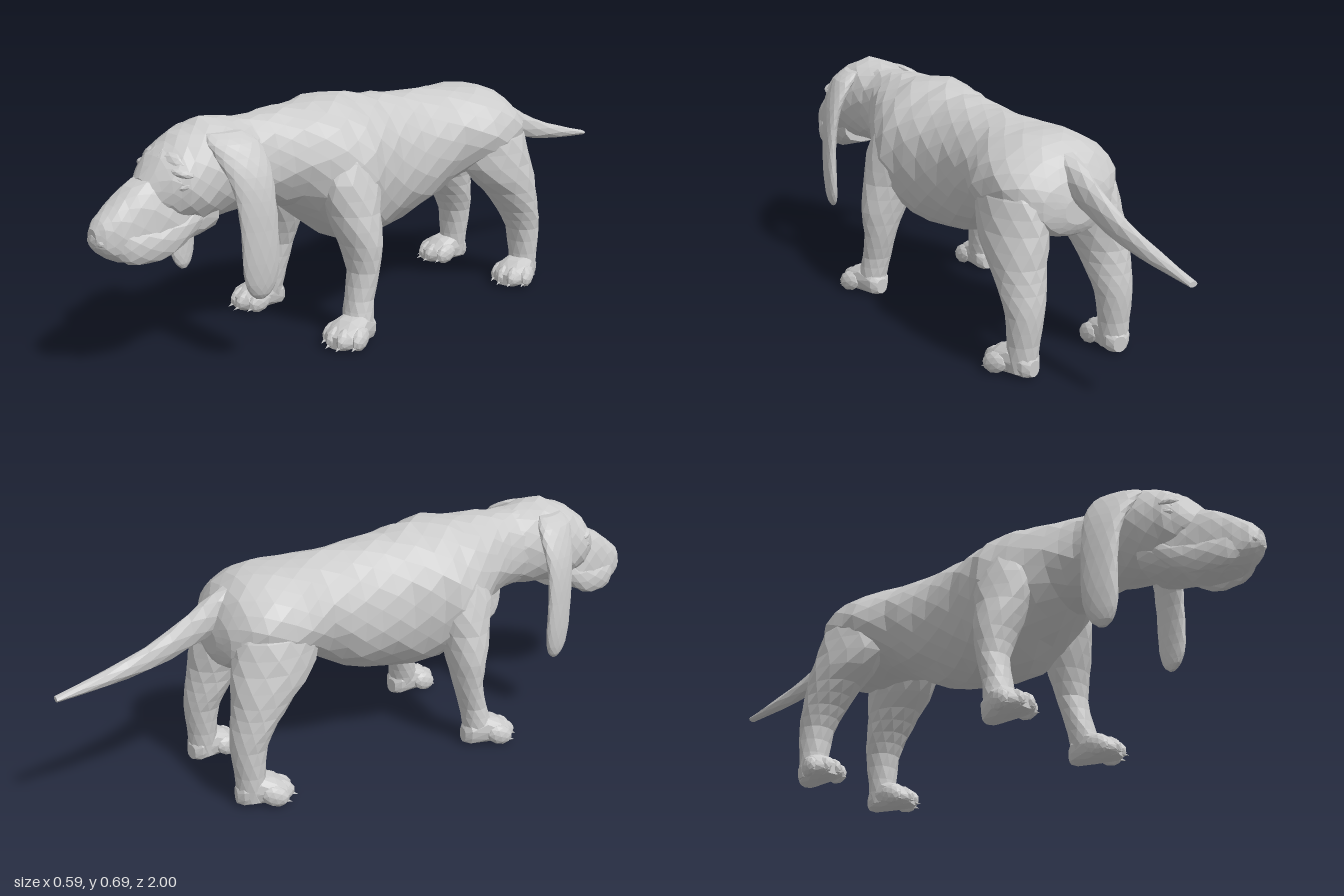
import * as THREE from 'three';

const material = new THREE.MeshStandardMaterial({ color: 0xcccccc, flatShading: true });

// Small repeatable irregularity for a hand-faceted surface
const wobble = (i, j) => {
  const s = Math.sin(i * 12.9898 + j * 78.233) * 43758.5453;
  return (s - Math.floor(s)) * 2 - 1;
};

// Skin over oval sections [x, y, z, halfWidth, halfDepth].
// upright: sections stand in the xy plane; otherwise they lie in the xz plane.
// power below 1 makes the ovals boxier; taper narrows one end of a section;
// shear slides x along a section's depth.
function loft(name, sections, { upright = true, sides = 14, steps = 2, power = 1, rough = 0.03, taper = 0, shear = 0 } = {}) {
  const path = new THREE.CatmullRomCurve3(sections.map(s => new THREE.Vector3(s[0], s[1], s[2])));
  const size = new THREE.CatmullRomCurve3(sections.map(s => new THREE.Vector3(s[3], s[4], 0)));
  const rings = (sections.length - 1) * steps;
  const pos = [], index = [];
  const bend = v => Math.sign(v) * Math.abs(v) ** power;
  for (let i = 0; i <= rings; i++) {
    const c = path.getPoint(i / rings), r = size.getPoint(i / rings);
    for (let j = 0; j < sides; j++) {
      const a = ((j + (i % 2) * 0.5) / sides) * Math.PI * 2;
      const k = 1 + rough * wobble(i, Math.round(Math.abs(Math.cos(a)) * 50) + Math.round(Math.sin(a) * 20));
      const u = bend(Math.cos(a)) * Math.max(r.x, 0.002) * k * (1 - taper * Math.sin(a));
      const v = bend(Math.sin(a)) * Math.max(r.y, 0.002) * k;
      pos.push(c.x + u + shear * v, c.y + (upright ? v : 0), c.z + (upright ? 0 : v));
    }
  }
  for (let i = 0; i < rings; i++) for (let j = 0; j < sides; j++) {
    const n = (j + 1) % sides, a = i * sides + j, b = i * sides + n, c = a + sides, d = b + sides;
    if (i % 2) index.push(a, b, d, a, d, c);
    else index.push(a, b, c, b, d, c);
  }
  // End caps
  const last = rings * sides;
  for (let j = 1; j < sides - 1; j++) index.push(0, j + 1, j, last, last + j, last + j + 1);
  // Turn the skin outward whichever way the sections run
  const p = i => new THREE.Vector3().fromArray(pos, i * 3);
  let volume = 0;
  for (let i = 0; i < index.length; i += 3) volume += p(index[i]).dot(p(index[i + 1]).cross(p(index[i + 2])));
  if (volume < 0) index.reverse();
  const g = new THREE.BufferGeometry();
  g.setAttribute('position', new THREE.Float32BufferAttribute(pos, 3));
  g.setIndex(index);
  g.computeVertexNormals();
  const mesh = new THREE.Mesh(g, material);
  mesh.name = name;
  return mesh;
}

function blob(name, [x, y, z], [rx, ry, rz], [ax, ay, az] = [0, 0, 0]) {
  const m = new THREE.Mesh(new THREE.IcosahedronGeometry(1, 1), material);
  m.name = name;
  m.position.set(x, y, z);
  m.scale.set(rx, ry, rz);
  m.rotation.set(ax, ay, az);
  return m;
}

// Paw with four toes and claws
function paw(name, x, z, turn) {
  const g = new THREE.Group();
  g.name = name;
  g.add(loft('pawBase', [
    [0, 0.035, -0.066, 0.02, 0.024], [0, 0.044, -0.05, 0.038, 0.04], [0, 0.05, 0, 0.05, 0.047],
    [0, 0.043, 0.045, 0.06, 0.04], [0, 0.034, 0.075, 0.053, 0.03], [0, 0.028, 0.094, 0.032, 0.018],
  ], { power: 0.85, sides: 12, steps: 1 }));
  [-0.049, -0.017, 0.017, 0.049].forEach((tx, i) => {
    const tz = i % 3 ? 0.064 : 0.038;
    g.add(blob('toe', [tx, 0.038, tz], [0.02, 0.032, 0.042], [0.35, tx * 4, 0]));
    const claw = new THREE.Mesh(new THREE.ConeGeometry(0.007, 0.026, 5), material);
    claw.name = 'claw';
    claw.position.set(tx * 1.12, 0.018, tz + 0.038);
    claw.rotation.x = 1.95;
    g.add(claw);
  });
  g.position.set(x, 0, z);
  g.rotation.y = turn;
  return g;
}

export function createModel() {
  const model = new THREE.Group();
  model.name = 'hound';

  // Torso from neck to rump
  model.add(loft('torso', [
    [0, 0.545, 0.56, 0.105, 0.125], [0, 0.54, 0.46, 0.112, 0.132], [0, 0.533, 0.38, 0.148, 0.147],
    [0, 0.50, 0.28, 0.2, 0.19], [0, 0.472, 0.19, 0.212, 0.222], [0, 0.462, 0.1, 0.19, 0.22],
    [0, 0.465, 0, 0.168, 0.207], [0, 0.478, -0.11, 0.165, 0.187], [0, 0.505, -0.22, 0.168, 0.158],
    [0, 0.52, -0.32, 0.203, 0.138], [0, 0.515, -0.41, 0.205, 0.14], [0, 0.498, -0.485, 0.172, 0.12],
    [0, 0.475, -0.527, 0.115, 0.08], [0, 0.465, -0.542, 0.05, 0.04],
  ], { sides: 18 }));

  // Tail
  model.add(loft('tail', [
    [0, 0.59, -0.44, 0.05, 0.045], [0, 0.548, -0.52, 0.036, 0.056], [0, 0.507, -0.6, 0.027, 0.05],
    [0, 0.456, -0.73, 0.024, 0.035], [0, 0.426, -0.86, 0.021, 0.022], [0, 0.402, -1, 0.014, 0.008],
  ], { sides: 8 }));

  // Skull and muzzle
  const head = new THREE.Group();
  head.name = 'head';
  model.add(head);
  head.add(loft('skull', [
    [0, 0.542, 0.48, 0.1, 0.12], [0, 0.547, 0.57, 0.118, 0.135], [0, 0.545, 0.65, 0.13, 0.142],
    [0, 0.532, 0.71, 0.128, 0.132], [0, 0.525, 0.76, 0.116, 0.113], [0, 0.518, 0.8, 0.092, 0.088],
    [0, 0.5, 0.845, 0.05, 0.05],
  ], { sides: 16 }));
  head.add(loft('muzzle', [
    [0, 0.465, 0.66, 0.095, 0.075], [0, 0.46, 0.74, 0.09, 0.098], [0, 0.451, 0.81, 0.081, 0.108],
    [0, 0.435, 0.88, 0.072, 0.1], [0, 0.418, 0.935, 0.059, 0.077], [0, 0.416, 0.975, 0.042, 0.048],
    [0, 0.415, 0.993, 0.022, 0.025],
  ], { power: 0.75, taper: 0.15 }));
  head.add(blob('nose', [0, 0.408, 0.972], [0.037, 0.03, 0.026]));
  head.add(blob('chin', [0, 0.358, 0.89], [0.05, 0.025, 0.055]));

  for (const [s, side] of [[1, 'left'], [-1, 'right']]) {
    // Hanging lip
    head.add(loft(side + 'Lip', [
      [s * 0.036, 0.39, 0.95, 0.014, 0.025], [s * 0.05, 0.382, 0.92, 0.02, 0.043],
      [s * 0.062, 0.38, 0.87, 0.022, 0.046], [s * 0.07, 0.39, 0.8, 0.022, 0.044],
      [s * 0.076, 0.43, 0.73, 0.02, 0.035], [s * 0.078, 0.455, 0.68, 0.01, 0.015],
    ], { sides: 8 }));
    // Eye, lids and brow
    head.add(blob(side + 'Eye', [s * 0.085, 0.55, 0.774], [0.018, 0.016, 0.018]));
    head.add(blob(side + 'UpperLid', [s * 0.088, 0.566, 0.766], [0.034, 0.014, 0.025], [0, s * 0.8, s * -0.25]));
    head.add(blob(side + 'LowerLid', [s * 0.088, 0.53, 0.766], [0.034, 0.014, 0.025], [0, s * 0.8, s * 0.25]));
    head.add(blob(side + 'Brow', [s * 0.064, 0.586, 0.765], [0.045, 0.026, 0.022], [-0.4, s * 0.6, s * -0.3]));
    // Forehead wrinkle and nostril wing
    head.add(blob(side + 'Wrinkle', [s * 0.022, 0.594, 0.786], [0.011, 0.045, 0.016], [-0.7, 0, s * 0.15]));
    head.add(blob(side + 'Nostril', [s * 0.024, 0.404, 0.98], [0.013, 0.012, 0.012]));
    // Long drooping ear, its rear edge flared outward at the top
    head.add(loft(side + 'Ear', [
      [s * 0.082, 0.655, 0.627, 0.02, 0.05], [s * 0.112, 0.63, 0.62, 0.033, 0.07],
      [s * 0.137, 0.595, 0.612, 0.031, 0.07], [s * 0.164, 0.545, 0.605, 0.026, 0.062],
      [s * 0.181, 0.48, 0.6, 0.023, 0.055], [s * 0.189, 0.4, 0.597, 0.021, 0.053],
      [s * 0.19, 0.31, 0.595, 0.021, 0.052], [s * 0.187, 0.25, 0.595, 0.019, 0.044],
      [s * 0.184, 0.22, 0.595, 0.015, 0.029], [s * 0.182, 0.205, 0.595, 0.007, 0.012],
    ], { upright: false, sides: 12, rough: 0.01, shear: s * -0.22 }));

    // Front leg
    model.add(loft(side + 'FrontLeg', [
      [s * 0.12, 0.58, 0.23, 0.06, 0.08], [s * 0.148, 0.47, 0.235, 0.073, 0.1],
      [s * 0.163, 0.38, 0.24, 0.078, 0.082], [s * 0.184, 0.29, 0.235, 0.075, 0.06],
      [s * 0.197, 0.21, 0.235, 0.054, 0.045], [s * 0.201, 0.13, 0.253, 0.046, 0.042],
      [s * 0.21, 0.07, 0.265, 0.046, 0.046], [s * 0.214, 0.02, 0.27, 0.04, 0.04],
    ], { upright: false, sides: 12 }));
    model.add(paw(side + 'FrontPaw', s * 0.216, 0.282, s * 0.17));

    // Hind leg
    model.add(loft(side + 'HindLeg', [
      [s * 0.09, 0.6, -0.37, 0.06, 0.08], [s * 0.116, 0.5, -0.39, 0.09, 0.128],
      [s * 0.13, 0.41, -0.405, 0.09, 0.134], [s * 0.145, 0.32, -0.45, 0.08, 0.094],
      [s * 0.15, 0.25, -0.485, 0.069, 0.069], [s * 0.155, 0.185, -0.507, 0.055, 0.054],
      [s * 0.159, 0.1, -0.508, 0.048, 0.045], [s * 0.162, 0.02, -0.505, 0.044, 0.042],
    ], { upright: false, sides: 12 }));
    model.add(paw(side + 'HindPaw', s * 0.165, -0.487, s * 0.22));
  }
  return model;
}
